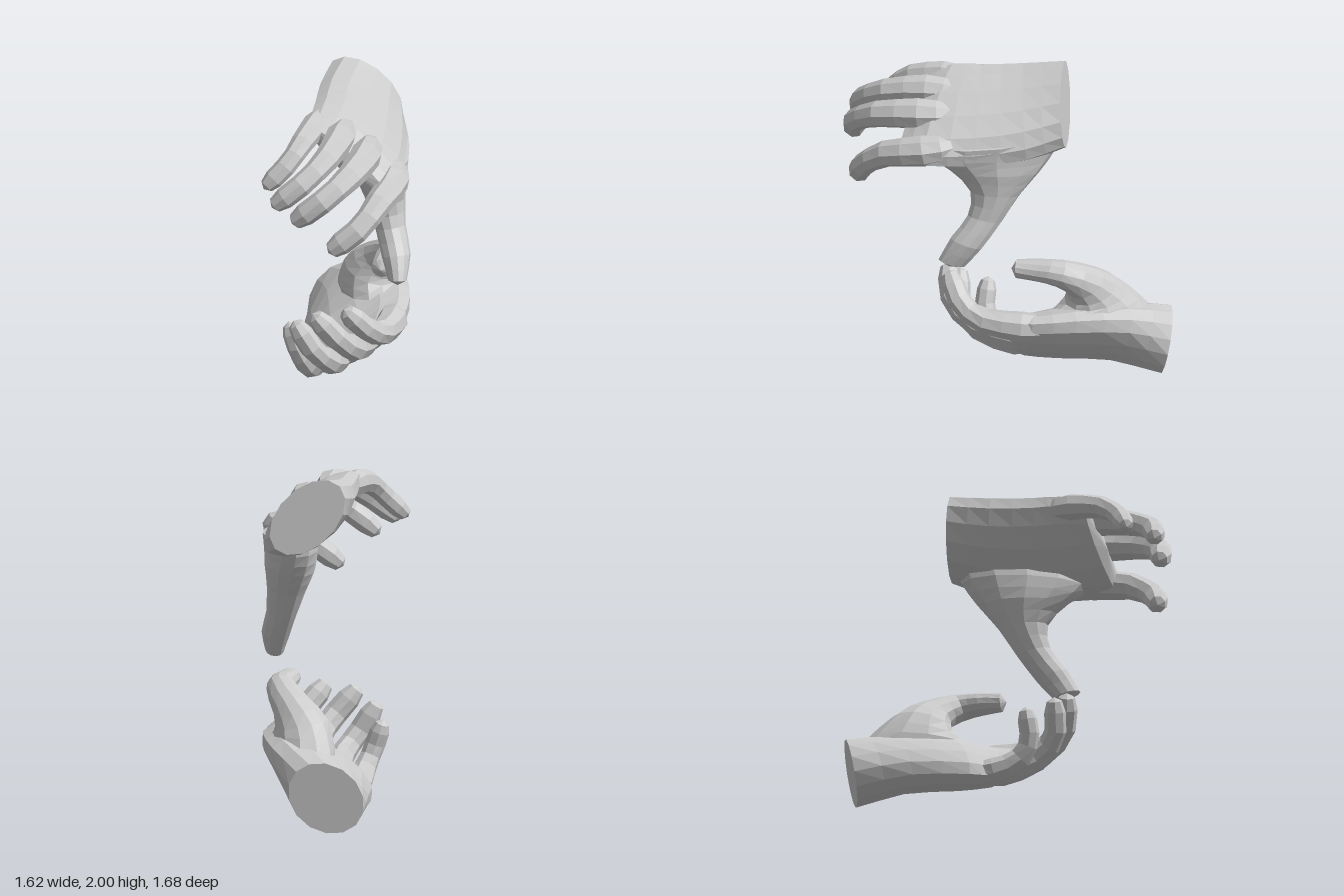
import * as THREE from 'three';

const material = new THREE.MeshStandardMaterial({ color: 0xcccccc, flatShading: true });
const V = (p) => new THREE.Vector3(...p);

// Skin a row of oval sections. Each section: [one edge, opposite edge, half thickness].
function loft(name, sections, sides, steps, bulge) {
  const curveA = new THREE.CatmullRomCurve3(sections.map((s) => V(s[0])));
  const curveB = new THREE.CatmullRomCurve3(sections.map((s) => V(s[1])));
  const count = (sections.length - 1) * steps;
  const rings = [];
  for (let i = 0; i <= count; i++) {
    const f = i / count;
    const k = Math.min(Math.floor(i / steps), sections.length - 2);
    const t = THREE.MathUtils.lerp(sections[k][2], sections[k + 1][2], i / steps - k);
    const a = curveA.getPoint(f), b = curveB.getPoint(f);
    rings.push({ mid: a.clone().add(b).multiplyScalar(0.5), half: a.sub(b).multiplyScalar(0.5), t });
  }
  const pos = [], index = [];
  rings.forEach((r, i) => {
    const axis = rings[Math.min(i + 1, count)].mid.clone().sub(rings[Math.max(i - 1, 0)].mid);
    const n = axis.cross(r.half).normalize().multiplyScalar(r.t);
    for (let j = 0; j < sides; j++) {
      const q = (j / sides) * Math.PI * 2;
      const p = r.mid.clone().addScaledVector(r.half, Math.cos(q)).addScaledVector(n, Math.sin(q));
      pos.push(p.x, p.y, p.z);
    }
  });
  for (let i = 0; i < count; i++) {
    for (let j = 0; j < sides; j++) {
      const k = (j + 1) % sides, o = i * sides, u = o + sides;
      index.push(o + j, o + k, u + k, o + j, u + k, u + j);
    }
  }
  // flat start cap, domed end cap
  const start = rings[0].mid, last = rings[count].mid;
  const dome = last.clone().sub(rings[count - 1].mid).normalize().multiplyScalar(bulge).add(last);
  const c = pos.length / 3, e = count * sides;
  pos.push(start.x, start.y, start.z, dome.x, dome.y, dome.z);
  for (let j = 0; j < sides; j++) {
    const k = (j + 1) % sides;
    index.push(c, k, j, c + 1, e + j, e + k);
  }
  const geometry = new THREE.BufferGeometry();
  geometry.setAttribute('position', new THREE.Float32BufferAttribute(pos, 3));
  geometry.setIndex(index);
  geometry.computeVertexNormals();
  const mesh = new THREE.Mesh(geometry, material);
  mesh.name = name;
  return mesh;
}

// Finger along a path; `across` is the hinge direction of its joints.
// The root tapers so that it sinks into the back of the hand.
function finger(name, path, across, size) {
  const curve = new THREE.CatmullRomCurve3(path.map(V));
  const radii = [0.5, 1.15, 1.3, 1.2, 1.1, 0.98, 0.98, 0.95, 0.68];
  const stops = [0, 0.16, 0.27, 0.4, 0.54, 0.67, 0.79, 0.92, 1];
  const sections = radii.map((k, i) => {
    const p = curve.getPointAt(stops[i]), tan = curve.getTangentAt(stops[i]), r = k * size;
    const w = across.clone().addScaledVector(tan, -across.dot(tan)).setLength(r);
    return [p.clone().add(w).toArray(), p.clone().sub(w).toArray(), r * 0.97];
  });
  return loft(name, sections, 8, 1, 0.025);
}

function hand(name, spec) {
  const group = new THREE.Group();
  group.name = name;
  group.add(loft('palm', spec.palm, 14, 2, 0.03));
  group.add(loft('thumb', spec.thumb, 12, 2, 0.03));
  const knuckles = spec.palm[3];
  const across = V(knuckles[0]).sub(V(knuckles[1])).normalize();
  for (const [key, size] of [['indexFinger', 0.073], ['middleFinger', 0.073], ['ringFinger', 0.069], ['littleFinger', 0.062]]) {
    group.add(finger(key, spec[key], across, size));
  }
  return group;
}

// Palm sections run wrist to knuckles, thumb edge first
const upper = {
  palm: [
    [[-0.01, 1.59, -0.5], [-0.28, 1.97, -0.23], 0.17],
    [[0.19, 1.53, -0.39], [-0.14, 1.93, -0.02], 0.16],
    [[0.43, 1.5, -0.2], [0.03, 1.92, 0.16], 0.14],
    [[0.65, 1.5, 0.02], [0.14, 1.92, 0.28], 0.115],
    [[0.71, 1.5, 0.16], [0.24, 1.87, 0.38], 0.07],
  ],
  thumb: [
    [[-0.09, 1.66, -0.42], [0.56, 1.6, 0.06], 0.16],
    [[-0.06, 1.53, -0.38], [0.55, 1.52, 0.06], 0.16],
    [[0.03, 1.4, -0.34], [0.45, 1.42, -0.01], 0.15],
    [[0.14, 1.26, -0.28], [0.37, 1.29, -0.1], 0.115],
    [[0.24, 1.1, -0.23], [0.4, 1.15, -0.11], 0.09],
    [[0.35, 0.95, -0.18], [0.5, 1.02, -0.07], 0.085],
    [[0.43, 0.84, -0.12], [0.56, 0.89, -0.03], 0.055],
  ],
  indexFinger: [[0.42, 1.61, -0.1], [0.62, 1.57, 0.06], [0.72, 1.52, 0.26], [0.74, 1.41, 0.42], [0.65, 1.28, 0.56]],
  middleFinger: [[0.34, 1.74, 0.0], [0.53, 1.74, 0.2], [0.64, 1.7, 0.42], [0.63, 1.6, 0.61], [0.52, 1.47, 0.73]],
  ringFinger: [[0.22, 1.82, 0.07], [0.39, 1.83, 0.28], [0.51, 1.78, 0.5], [0.51, 1.68, 0.68], [0.42, 1.56, 0.8]],
  littleFinger: [[0.1, 1.86, 0.13], [0.21, 1.86, 0.32], [0.29, 1.82, 0.49], [0.31, 1.74, 0.6], [0.26, 1.61, 0.73]],
};
const lower = {
  palm: [
    [[-0.58, 0.38, -0.82], [-0.76, 0.05, -0.51], 0.2],
    [[-0.3, 0.48, -0.77], [-0.55, 0.1, -0.25], 0.165],
    [[-0.02, 0.5, -0.6], [-0.31, 0.09, -0.01], 0.145],
    [[0.17, 0.48, -0.42], [-0.19, 0.1, 0.05], 0.115],
    [[0.25, 0.47, -0.25], [-0.1, 0.14, 0.11], 0.07],
  ],
  thumb: [
    [[-0.65, 0.34, -0.7], [0.06, 0.38, -0.36], 0.17],
    [[-0.56, 0.47, -0.64], [0.02, 0.47, -0.39], 0.18],
    [[-0.44, 0.61, -0.58], [-0.08, 0.54, -0.44], 0.16],
    [[-0.26, 0.74, -0.56], [-0.08, 0.61, -0.46], 0.115],
    [[-0.03, 0.84, -0.49], [0.0, 0.69, -0.43], 0.085],
    [[0.06, 0.84, -0.37], [0.06, 0.71, -0.34], 0.075],
    [[0.14, 0.83, -0.25], [0.14, 0.72, -0.25], 0.06],
  ],
  indexFinger: [[0.0, 0.42, -0.47], [0.18, 0.43, -0.29], [0.31, 0.46, -0.09], [0.33, 0.54, 0.04], [0.3, 0.66, 0.15]],
  middleFinger: [[-0.08, 0.31, -0.36], [0.1, 0.32, -0.14], [0.23, 0.38, 0.05], [0.25, 0.48, 0.18], [0.18, 0.63, 0.29]],
  ringFinger: [[-0.18, 0.21, -0.23], [-0.01, 0.21, -0.03], [0.11, 0.28, 0.13], [0.12, 0.38, 0.25], [0.05, 0.55, 0.33]],
  littleFinger: [[-0.26, 0.14, -0.11], [-0.14, 0.15, 0.04], [-0.06, 0.21, 0.15], [-0.05, 0.31, 0.22], [-0.1, 0.47, 0.25]],
};

export function createModel() {
  const model = new THREE.Group();
  model.name = 'pairOfHands';
  model.add(hand('upperHand', upper), hand('lowerHand', lower));
  return model;
}
